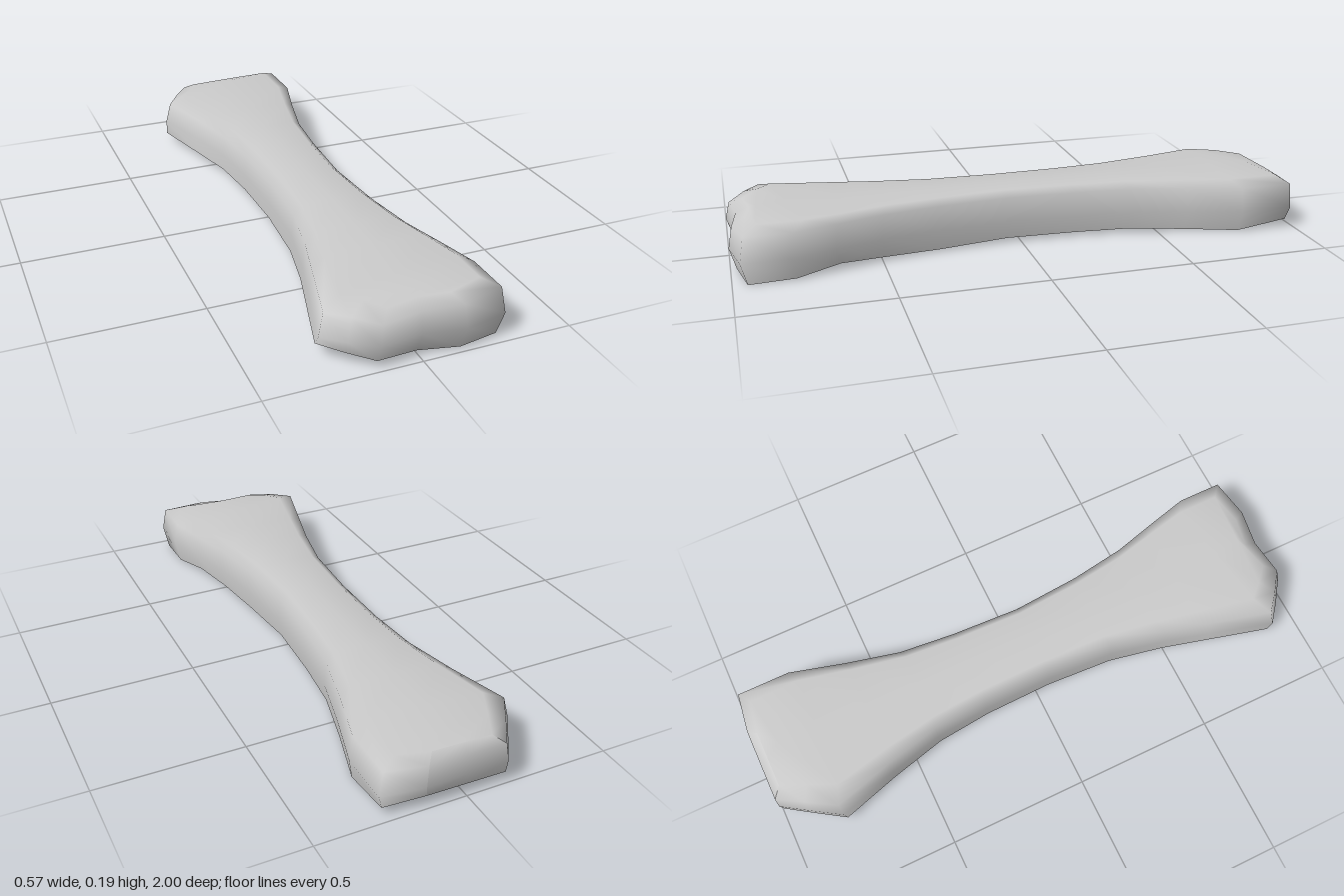
import * as THREE from 'three';

// Stations along the bone: [right x, right z, right rim y, left x, left z, left rim y]
const STATIONS = [
  [-0.14, -1.0, 0.04, 0.14, -1.0, 0.045],
  [-0.2, -0.91, 0.04, 0.285, -0.98, 0.035],
  [-0.265, -0.81, 0.04, 0.285, -0.79, 0.01],
  [-0.2, -0.6, 0.03, 0.23, -0.6, 0.015],
  [-0.15, -0.4, 0.03, 0.18, -0.4, 0.02],
  [-0.13, -0.2, 0.03, 0.16, -0.2, 0.02],
  [-0.125, 0.05, 0.03, 0.148, 0.05, 0.02],
  [-0.138, 0.3, 0.025, 0.168, 0.3, 0.012],
  [-0.18, 0.5, 0.035, 0.2, 0.5, 0.018],
  [-0.225, 0.66, 0.045, 0.245, 0.66, 0.03],
  [-0.29, 0.89, 0.06, 0.285, 0.81, 0.01],
  [-0.22, 0.945, 0.045, 0.285, 0.97, 0.005],
  [-0.14, 1.0, 0.03, 0.14, 1.0, 0.01],
];
const LAST = STATIONS.length - 1;

// Rings from open rim to top: [x scale on -x side, x scale on +x side, front z scale, back z scale]
const RINGS = [
  [1.0, 0.95, 0.98, 0.99],
  [0.99, 1.0, 1.0, 1.0],
  [0.92, 0.96, 0.985, 0.997],
  [0.68, 0.78, 0.94, 0.965],
];

// A point of one ring on one side of a station
function ringPoint(i, k, left) {
  const s = STATIONS[i].slice(left ? 3 : 0);
  const r = RINGS[k];
  const drop = i === 0 || i === LAST ? 0.01 : 0;
  const y = [s[2], left ? 0.085 : 0.09, (left ? 0.17 : 0.163) - drop, (left ? 0.191 : 0.185) - drop][k];
  return new THREE.Vector3(s[0] * r[left ? 1 : 0], y, s[1] * (s[1] > 0 ? r[2] : r[3]));
}

// Middle of a ring at a station; the front end dips between its two knuckles
function middle(i, k) {
  const p = ringPoint(i, k, false).lerp(ringPoint(i, k, true), 0.5);
  if (i === LAST) p.z -= 0.018;
  if (k === 3 && i > 0 && i < LAST) p.y = 0.191;
  return p;
}

function makeMesh(name, points, index, material) {
  const geometry = new THREE.BufferGeometry().setFromPoints(points);
  geometry.setIndex(index);
  geometry.computeVertexNormals();
  const mesh = new THREE.Mesh(geometry, material);
  mesh.name = name;
  return mesh;
}

export function createModel() {
  const group = new THREE.Group();
  group.name = 'bone';
  const material = new THREE.MeshStandardMaterial({ color: 0xcccccc, side: THREE.DoubleSide });

  // Shaft: an arch per station, open underneath
  const points = [];
  const index = [];
  const COLS = 9;
  for (let i = 0; i <= LAST; i++) {
    for (let k = 0; k < 4; k++) points.push(ringPoint(i, k, false));
    points.push(middle(i, 3));
    for (let k = 3; k >= 0; k--) points.push(ringPoint(i, k, true));
  }
  for (let i = 0; i < LAST; i++) {
    for (let j = 0; j < COLS - 1; j++) {
      const a = i * COLS + j, c = a + COLS;
      index.push(a, c, a + 1, a + 1, c, c + 1);
    }
  }

  // Front knuckles: close the front end, sharing the shaft's vertices for smooth shading
  const base = LAST * COLS;
  const extra = points.length;
  for (let k = 0; k < 3; k++) points.push(middle(LAST, k));
  const mid = (k) => (k === 3 ? base + 4 : extra + k);
  for (let k = 0; k < 3; k++) {
    const l = base + k, r = base + COLS - 1 - k;
    index.push(l, mid(k), l + 1, l + 1, mid(k), mid(k + 1));
    index.push(mid(k), r, mid(k + 1), mid(k + 1), r, r - 1);
  }
  group.add(makeMesh('shaft', points, index, material));

  // Back end wall, with a crisp edge
  const wall = [];
  const wallIndex = [];
  for (let k = 0; k < 4; k++) wall.push(ringPoint(0, k, false), middle(0, k), ringPoint(0, k, true));
  for (let k = 0; k < 3; k++) {
    for (let j = 0; j < 2; j++) {
      const a = k * 3 + j;
      wallIndex.push(a, a + 3, a + 1, a + 1, a + 3, a + 4);
    }
  }
  group.add(makeMesh('backEnd', wall, wallIndex, material));
  return group;
}
